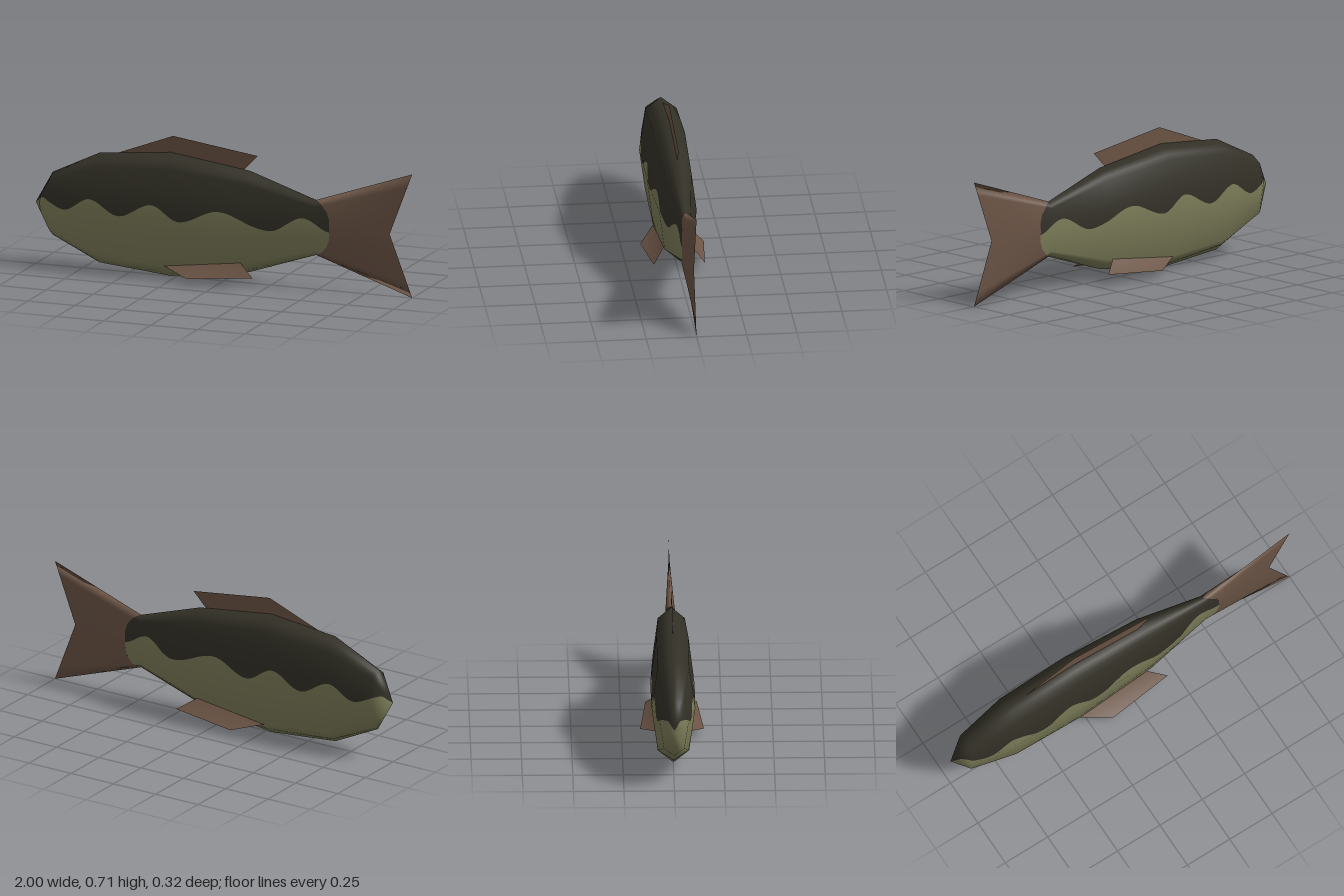
import * as THREE from 'three';

const CY = 0.316; // height of the body axis
// Eight-sided ring, from the top round the +z side: [height, width] factors
const RING = [[1, 0], [0.78, 0.72], [0, 1], [-0.78, 0.72], [-1, 0], [-0.78, -0.72], [0, -1], [0.78, -0.72]];
// Stations from nose to tail: x, half height, half width, extra x at top and bottom
const STATIONS = [
  [-1, 0, 0, 0], [-0.91, 0.16, 0.07, 0], [-0.66, 0.28, 0.108, 0], [-0.28, 0.315, 0.11, 0],
  [0.14, 0.257, 0.093, 0], [0.49, 0.14, 0.034, 0], [0.88, 0.315, 0, 0.12],
];
const LAST = STATIONS.length - 1;
// Crests and troughs of the wavy line between back and belly
const WAVE = [[-1, 0.32], [-0.95, 0.35], [-0.82, 0.31], [-0.68, 0.378], [-0.52, 0.308], [-0.35, 0.378],
  [-0.2, 0.305], [0, 0.372], [0.27, 0.293], [0.43, 0.366], [0.58, 0.3]];

const lerp = THREE.MathUtils.lerp;

function waveAt(x) {
  let i = 0;
  while (i < WAVE.length - 2 && x > WAVE[i + 1][0]) i++;
  const [a, b] = [WAVE[i], WAVE[i + 1]];
  return lerp(a[1], b[1], THREE.MathUtils.smoothstep(x, a[0], b[0]));
}

function geometry(positions, indices, normals) {
  const g = new THREE.BufferGeometry();
  g.setAttribute('position', new THREE.Float32BufferAttribute(positions, 3));
  g.setIndex(indices);
  if (normals) g.setAttribute('normal', new THREE.Float32BufferAttribute(normals, 3));
  else g.computeVertexNormals();
  return g;
}

// Triangles of a grid with the given number of columns and rows
function gridIndices(cols, rows, wrap = false) {
  const out = [];
  for (let i = 0; i < cols - 1; i++) {
    for (let j = 0; j < (wrap ? rows : rows - 1); j++) {
      const k = (j + 1) % rows;
      const a = i * rows + j, b = i * rows + k, c = a + rows, d = b + rows;
      out.push(a, b, c, b, d, c);
    }
  }
  return out;
}

// Coarse cage whose positions and smooth normals are sampled by the patches
function buildCage() {
  const pos = [];
  for (const [x, h, w, sweep] of STATIONS) {
    for (const [fy, fz] of RING) pos.push(x + sweep * Math.abs(fy), CY + h * fy, w * fz);
  }
  const g = geometry(pos, gridIndices(STATIONS.length, 8, true));
  for (let j = 0; j < 8; j++) g.attributes.normal.setXYZ(j, -1, 0, 0);
  return g;
}

function sample(attribute, u, t) {
  const i = Math.min(Math.floor(u), LAST - 1);
  const tt = (t + 16) % 8, j = Math.floor(tt), k = (j + 1) % 8;
  const at = (s, r) => new THREE.Vector3().fromBufferAttribute(attribute, s * 8 + r);
  return at(i, j).lerp(at(i, k), tt - j).lerp(at(i + 1, j).lerp(at(i + 1, k), tt - j), u - i);
}

// Rounded line where the body colours meet the tail
function tailStart(t) {
  const tt = (t + 16) % 8, j = Math.floor(tt);
  const n = lerp(RING[j][0], RING[(j + 1) % 8][0], tt - j);
  return 0.2 * (1 - n * n);
}

// Ring position of the wavy line at one station
function waveRing(u) {
  const i = Math.min(Math.floor(u), LAST - 1);
  const [a, b] = [STATIONS[i], STATIONS[i + 1]];
  const h = Math.max(lerp(a[1], b[1], u - i), 0.01);
  const n = (waveAt(lerp(a[0], b[0], u - i)) - CY) / h;
  return 2 - THREE.MathUtils.clamp(n / 0.78, -0.9, 0.9);
}

function densify(list, n) {
  const out = [list[0]];
  for (let i = 1; i < list.length; i++) {
    for (let k = 1; k <= n; k++) out.push(lerp(list[i - 1], list[i], k / n));
  }
  return out;
}

// Patch of the skin: columns in u, ring rows from rowsAt(u), stretched by mapU
function patch(cage, columns, rowsAt, mapU) {
  const pos = [], nor = [];
  let rows = 0;
  for (const u of columns) {
    const ring = densify(rowsAt(u), 3);
    rows = ring.length;
    for (const t of ring) {
      const v = mapU(u, t);
      pos.push(...sample(cage.attributes.position, v, t).toArray());
      nor.push(...sample(cage.attributes.normal, v, t).normalize().toArray());
    }
  }
  return geometry(pos, gridIndices(columns.length, rows), nor);
}

export function createModel() {
  const group = new THREE.Group();
  const material = (name, color) => {
    const m = new THREE.MeshStandardMaterial({ color, side: THREE.DoubleSide });
    m.name = name;
    return m;
  };
  const darkOlive = material('darkOlive', 0x323026);
  const paleOlive = material('paleOlive', 0x7c7c59);
  const finBrown = material('finBrown', 0x6b5445);
  const add = (name, geo, mat) => {
    const mesh = new THREE.Mesh(geo, mat);
    mesh.name = name;
    group.add(mesh);
  };

  const cage = buildCage();

  // Body, split along the wavy line; the last columns run to the rounded tail line
  const bodyColumns = [...densify([0, 1, 2, 3, 4, 5], 24), 5.05, 5.1, 5.15, 5.2];
  const bodyU = (u, t) => (u <= 5 ? u : 5 + ((u - 5) / 0.2) * tailStart(t));
  add('back', patch(cage, bodyColumns, (u) => {
    const t = waveRing(u), m = Math.min(2, t);
    return [-t, -m, -1, 0, 1, m, t];
  }, bodyU), darkOlive);
  add('belly', patch(cage, bodyColumns, (u) => {
    const t = waveRing(u), m = Math.max(2, t);
    return [t, m, 3, 4, 5, 8 - m, 8 - t];
  }, bodyU), paleOlive);

  // Forked tail tapering to a sharp edge
  add('tailFin', patch(cage, densify([0, 1], 6), () => [0, 1, 2, 3, 4, 5, 6, 7, 8],
    (s, t) => 5 + lerp(tailStart(t), 1, s)), finBrown);

  // Flat back fin, rooted inside the body
  add('dorsalFin', geometry([
    -0.56, 0.605, 0, 0.1, 0.57, 0, 0.18, 0.652, 0, -0.27, 0.715, 0,
  ], [0, 1, 2, 0, 2, 3]), finBrown);

  // Pair of flat lower fins
  for (const side of [1, -1]) {
    add(side > 0 ? 'frontLowerFin' : 'rearLowerFin', geometry([
      -0.29, 0.07, 0.078 * side, -0.14, 0.033, 0.158 * side,
      0.2, 0.06, 0.127 * side, 0.11, 0.12, 0.065 * side,
    ], side > 0 ? [0, 1, 2, 0, 2, 3] : [0, 2, 1, 0, 3, 2]), finBrown);
  }
  return group;
}
